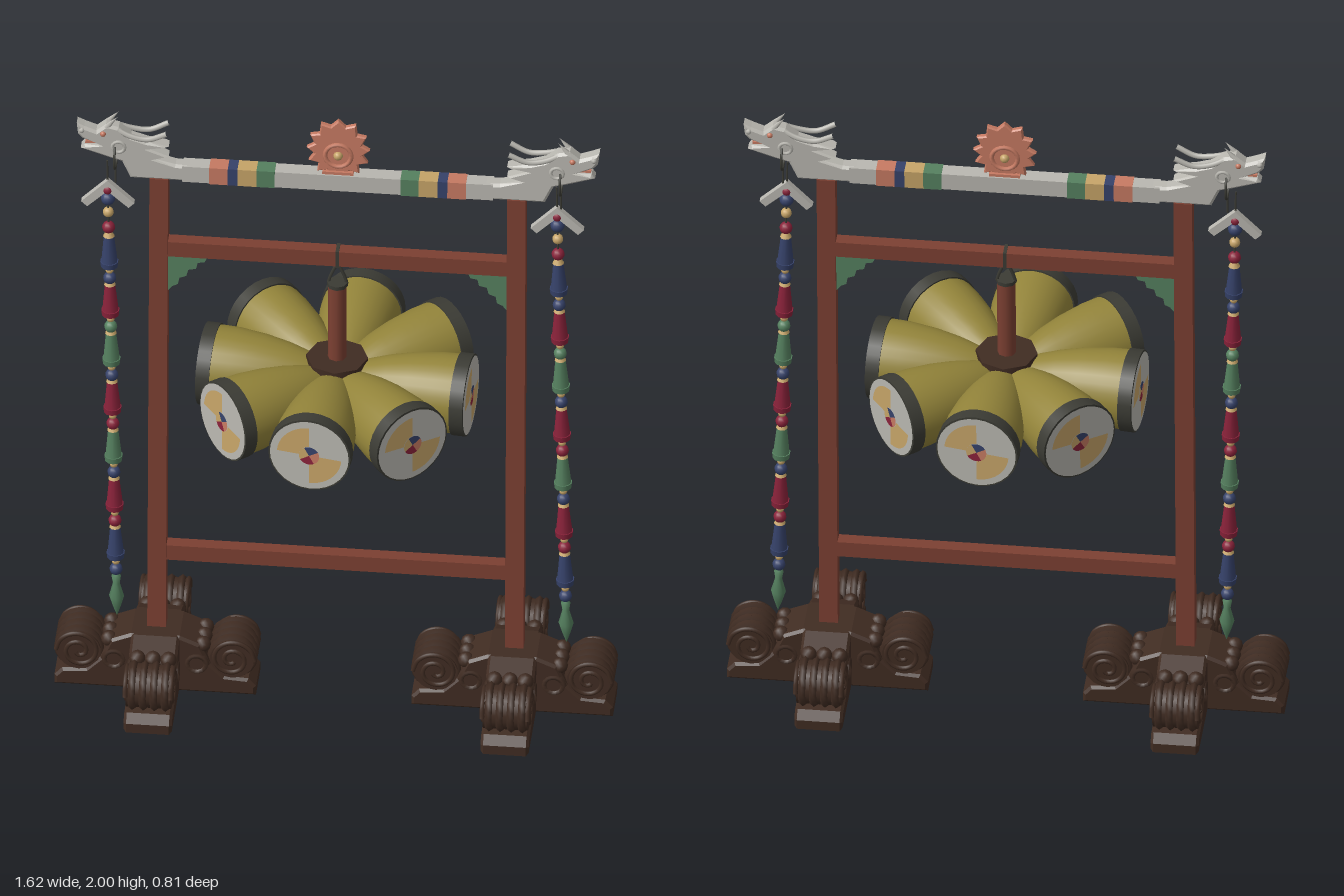
import * as THREE from 'three';

const mat = (name, color) => Object.assign(new THREE.MeshStandardMaterial({ color }), { name });
const M = {
  wood: mat('red wood', 0x7c4032),
  dark: mat('dark carved wood', 0x402c22),
  drum: mat('olive yellow', 0x93843a),
  char: mat('charcoal', 0x3b3b34),
  white: mat('off white', 0xb9b7b0),
  tan: mat('tan', 0xc6a468),
  green: mat('green', 0x55805f),
  navy: mat('navy', 0x36426a),
  crimson: mat('crimson', 0x8a223a),
  salmon: mat('salmon', 0xc67a62),
};

function add(parent, name, geo, material, x = 0, y = 0, z = 0) {
  const m = new THREE.Mesh(geo, material);
  m.name = name;
  m.position.set(x, y, z);
  parent.add(m);
  return m;
}
function sub(parent, name) {
  const g = new THREE.Group();
  g.name = name;
  parent.add(g);
  return g;
}
const box = (w, h, d) => new THREE.BoxGeometry(w, h, d);
const v3 = (p) => new THREE.Vector3(p[0], p[1], p[2] || 0);
function tube(points, r, closed = false, seg = 24) {
  return new THREE.TubeGeometry(new THREE.CatmullRomCurve3(points.map(v3), closed), seg, r, 6, closed);
}
// Extruded outline centred on z = 0
function plate(points, depth, bevel = 0) {
  const shape = new THREE.Shape(points.map((p) => new THREE.Vector2(p[0], p[1])));
  const g = new THREE.ExtrudeGeometry(shape, {
    depth: depth - 2 * bevel, bevelEnabled: bevel > 0, bevelThickness: bevel,
    bevelSize: bevel, bevelOffset: -bevel, bevelSegments: 1,
  });
  return g.translate(0, 0, -(depth - 2 * bevel) / 2);
}

// Crossed foot with a carved scroll on each arm
function buildFoot(parent, x) {
  const foot = sub(parent, 'foot');
  foot.position.x = x;
  const profile = [[0, 0], [0.292, 0], [0.292, 0.03], [0.27, 0.055], [0.2, 0.06], [0.16, 0.1],
    [0.13, 0.165], [0.07, 0.19], [0, 0.19]];
  const spiral = [];
  for (let i = 0; i <= 20; i++) {
    const a = i * 0.6, r = 0.066 - i * 0.0028;
    spiral.push([Math.cos(a) * r, Math.sin(a) * r]);
  }
  for (let k = 0; k < 4; k++) {
    const arm = sub(foot, 'footArm');
    arm.rotation.y = k * Math.PI / 2;
    add(arm, 'armBody', plate(profile, 0.14, 0.008), M.dark);
    add(arm, 'scroll', new THREE.CylinderGeometry(0.064, 0.064, 0.13, 18), M.dark, 0.222, 0.12).rotation.x = Math.PI / 2;
    for (const z of [-0.048, -0.016, 0.016, 0.048])
      add(arm, 'scrollRib', new THREE.TorusGeometry(0.062, 0.011, 5, 18), M.dark, 0.222, 0.12, z);
    for (const z of [-0.066, 0.066]) {
      add(arm, 'scrollSpiral', tube(spiral, 0.007, false, 50), M.dark, 0.222, 0.12, z);
      add(arm, 'armCurl', new THREE.TorusGeometry(0.028, 0.009, 5, 14), M.dark, 0.12, 0.1, z);
    }
    for (const z of [-0.045, 0, 0.045])
      add(arm, 'carvedKnob', new THREE.IcosahedronGeometry(0.024, 1), M.dark, 0.136, 0.155, z);
  }
}

// Drum along +y, with its painted skin
function buildDrum(parent, angle) {
  const spoke = sub(parent, 'drum');
  spoke.rotation.y = -angle;
  const d = sub(spoke, 'drumAxis');
  d.rotation.z = -Math.PI / 2;
  const prof = [[0.045, 0.03], [0.072, 0.09], [0.09, 0.15], [0.105, 0.22], [0.115, 0.3], [0.117, 0.37]];
  add(d, 'drumBody', new THREE.LatheGeometry(prof.map((p) => new THREE.Vector2(p[0], p[1])), 28), M.drum);
  add(d, 'drumRim', new THREE.CylinderGeometry(0.121, 0.121, 0.04, 28), M.char, 0, 0.373);
  const flat = (name, geo, m, y) => add(d, name, geo.rotateX(-Math.PI / 2), m, 0, y);
  flat('drumSkin', new THREE.CircleGeometry(0.116, 28), M.white, 0.3945);
  for (const a of [0, Math.PI])
    flat('tanSwirl', new THREE.RingGeometry(0.03, 0.095, 10, 1, a, 1.5), M.tan, 0.3965);
  [M.salmon, M.navy, M.tan, M.crimson].forEach((m, i) =>
    flat('skinCentre', new THREE.CircleGeometry(0.03, 6, i * Math.PI / 2 + 0.5, Math.PI / 2), m, 0.398));
}

// Hanging string of beads and tassels
function buildCharm(parent, side) {
  const c = sub(parent, 'beadString');
  c.position.set(side * 0.651, 0.95, 0);
  c.rotation.z = 0.022;
  const at = (name, geo, m, y) => add(c, name, geo, m, 0, y - 0.95);
  const ball = (r) => new THREE.SphereGeometry(r, 12, 8);
  at('string', new THREE.CylinderGeometry(0.003, 0.003, 1.5, 6), M.char, 1.05);
  at('chevron', plate([[0, 0], [0.077, -0.075], [0.06, -0.092], [0, -0.036], [-0.06, -0.092], [-0.077, -0.075]], 0.02), M.white, 1.735);
  at('bead', ball(0.016), M.crimson, 1.7);
  at('bead', ball(0.021), M.navy, 1.668);
  at('bead', ball(0.016), M.tan, 1.62);
  at('bead', ball(0.019), M.crimson, 1.567);
  const tassels = ['navy', 'crimson', 'green', 'crimson', 'green', 'crimson', 'navy'];
  const beads = ['navy', 'green', 'navy', 'crimson', 'navy', 'crimson', 'navy'];
  tassels.forEach((t, i) => {
    const y = 1.483 - i * 0.17;
    at('tasselCap', new THREE.CylinderGeometry(0.009, 0.017, 0.014, 10), M.tan, y + 0.06);
    at('tassel', new THREE.CylinderGeometry(0.015, 0.024, 0.088, 10), M[t], y + 0.01);
    at('tasselHem', new THREE.CylinderGeometry(0.027, 0.025, 0.018, 10), M[t], y - 0.043);
    at('ringBead', ball(0.012), M.tan, y - 0.066);
    at('bead', ball(0.019), M[beads[i]], y - 0.094);
  });
  at('endDrop', new THREE.LatheGeometry([[0, 0.205], [0.012, 0.24], [0.022, 0.275], [0.01, 0.32], [0.014, 0.345], [0, 0.35]]
    .map((p) => new THREE.Vector2(p[0], p[1] - 0.27)), 8), M.green, 0.27);
}

// Carved beast head at the beam end, facing +x
function buildHead(parent, turn) {
  const h = sub(parent, 'beastHead');
  h.rotation.y = turn;
  add(h, 'headBody', plate([[0.43, 1.757], [0.6, 1.757], [0.625, 1.812], [0.66, 1.822], [0.7, 1.835], [0.745, 1.85],
    [0.735, 1.864], [0.69, 1.866], [0.74, 1.885], [0.753, 1.9], [0.757, 1.937], [0.735, 1.927], [0.7, 1.914],
    [0.672, 1.938], [0.635, 1.93], [0.6, 1.9], [0.555, 1.886], [0.49, 1.872], [0.55, 1.86], [0.49, 1.838],
    [0.53, 1.826], [0.47, 1.812], [0.43, 1.81]], 0.046, 0.008), M.white);
  add(h, 'tongue', box(0.045, 0.008, 0.02), M.salmon, 0.71, 1.868);
  for (const z of [-1, 1]) {
    add(h, 'horn', tube([[0.65, 1.925, z * 0.012], [0.6, 1.905, z * 0.022], [0.55, 1.9, z * 0.026], [0.495, 1.925, z * 0.03]], 0.008), M.white);
    add(h, 'browTuft', new THREE.ConeGeometry(0.01, 0.05, 6), M.white, 0.655, 1.945, z * 0.014).rotation.z = 0.7;
    add(h, 'eye', new THREE.SphereGeometry(0.009, 10, 8), M.salmon, 0.68, 1.908, z * 0.022);
    add(h, 'nostril', new THREE.SphereGeometry(0.009, 8, 6), M.white, 0.742, 1.915, z * 0.02);
    add(h, 'cheekCurl', new THREE.TorusGeometry(0.018, 0.006, 6, 14), M.white, 0.635, 1.865, z * 0.022);
  }
  add(h, 'hangingRing', new THREE.TorusGeometry(0.043, 0.004, 6, 28), M.char, 0.645, 1.825).rotation.y = Math.PI / 2;
  add(h, 'ringHook', new THREE.CylinderGeometry(0.003, 0.003, 0.06, 6), M.char, 0.645, 1.755);
}

export function createModel() {
  const model = new THREE.Group();
  model.name = 'drumStand';
  // The whole stand leans slightly backwards
  const stand = sub(model, 'leaningStand');
  stand.rotation.x = -0.041;
  stand.position.set(0, 0.012, 0.027);

  // Posts, rails and corner brackets
  for (const s of [-1, 1]) {
    buildFoot(stand, s * 0.517);
    add(stand, 'post', box(0.054, 1.6, 0.046), M.wood, s * 0.518, 0.96);
    const bracket = [[0.492, 1.492], [0.375, 1.492], [0.385, 1.47], [0.405, 1.466], [0.41, 1.445], [0.432, 1.44],
      [0.438, 1.418], [0.458, 1.41], [0.462, 1.388], [0.478, 1.38], [0.492, 1.362]];
    add(stand, 'cornerBracket', plate(bracket, 0.02), M.green).rotation.y = s > 0 ? 0 : Math.PI;
    buildHead(stand, s > 0 ? 0 : Math.PI);
    buildCharm(stand, s);
  }
  add(stand, 'upperRail', box(1, 0.05, 0.04), M.wood, 0, 1.515);
  add(stand, 'lowerRail', box(1, 0.05, 0.04), M.wood, 0, 0.45);

  // Top beam with painted bands
  add(stand, 'topBeam', box(0.9, 0.053, 0.046), M.white, 0, 1.7835);
  const bands = [['green', 0.182, 0.235], ['tan', 0.235, 0.29], ['navy', 0.29, 0.318], ['salmon', 0.318, 0.372]];
  for (const s of [-1, 1])
    for (const [c, a, b] of bands)
      add(stand, 'paintedBand', box(b - a, 0.056, 0.05), M[c], s * (a + b) / 2, 1.7835);

  // Flame crest
  const flame = [];
  for (let i = 0; i < 26; i++) {
    const a = -Math.PI / 2 + (i / 26) * Math.PI * 2, up = Math.max(0, Math.sin(a));
    const r = (i % 2 ? 0.092 : 0.07) + 0.022 * up * up;
    flame.push([Math.cos(a) * r, 1.882 + Math.sin(a) * r]);
  }
  flame[13] = [0, 1.992];
  add(stand, 'flameCrest', plate(flame, 0.02, 0.004), M.salmon);
  add(stand, 'crestBase', box(0.09, 0.014, 0.036), M.salmon, 0, 1.812);
  for (const z of [-0.01, 0.01]) {
    add(stand, 'crestRing', new THREE.TorusGeometry(0.038, 0.007, 6, 20), M.salmon, 0, 1.872, z);
    add(stand, 'crestGem', new THREE.SphereGeometry(0.014, 10, 8), M.tan, 0, 1.872, z);
  }

  // Hanging wheel of eight drums
  const wheel = sub(stand, 'drumWheel');
  wheel.position.set(0, 1.09, 0.012);
  for (let i = 0; i < 8; i++) buildDrum(wheel, (6 + i * 45) * Math.PI / 180);
  add(wheel, 'hub', new THREE.CylinderGeometry(0.09, 0.09, 0.16, 8), M.dark);
  add(wheel, 'pole', new THREE.CylinderGeometry(0.027, 0.027, 0.48, 8), M.wood, 0, 0.1);
  add(wheel, 'poleCap', new THREE.CylinderGeometry(0.03, 0.03, 0.012, 8), M.char, 0, 0.335);
  add(stand, 'poleLoop', tube([[-0.027, 1.425], [-0.02, 1.45], [0, 1.487], [0.02, 1.45], [0.027, 1.425]], 0.005), M.char, 0, 0, 0.008);
  add(stand, 'railStrap', box(0.01, 0.056, 0.046), M.char, 0, 1.515);
  return model;
}
